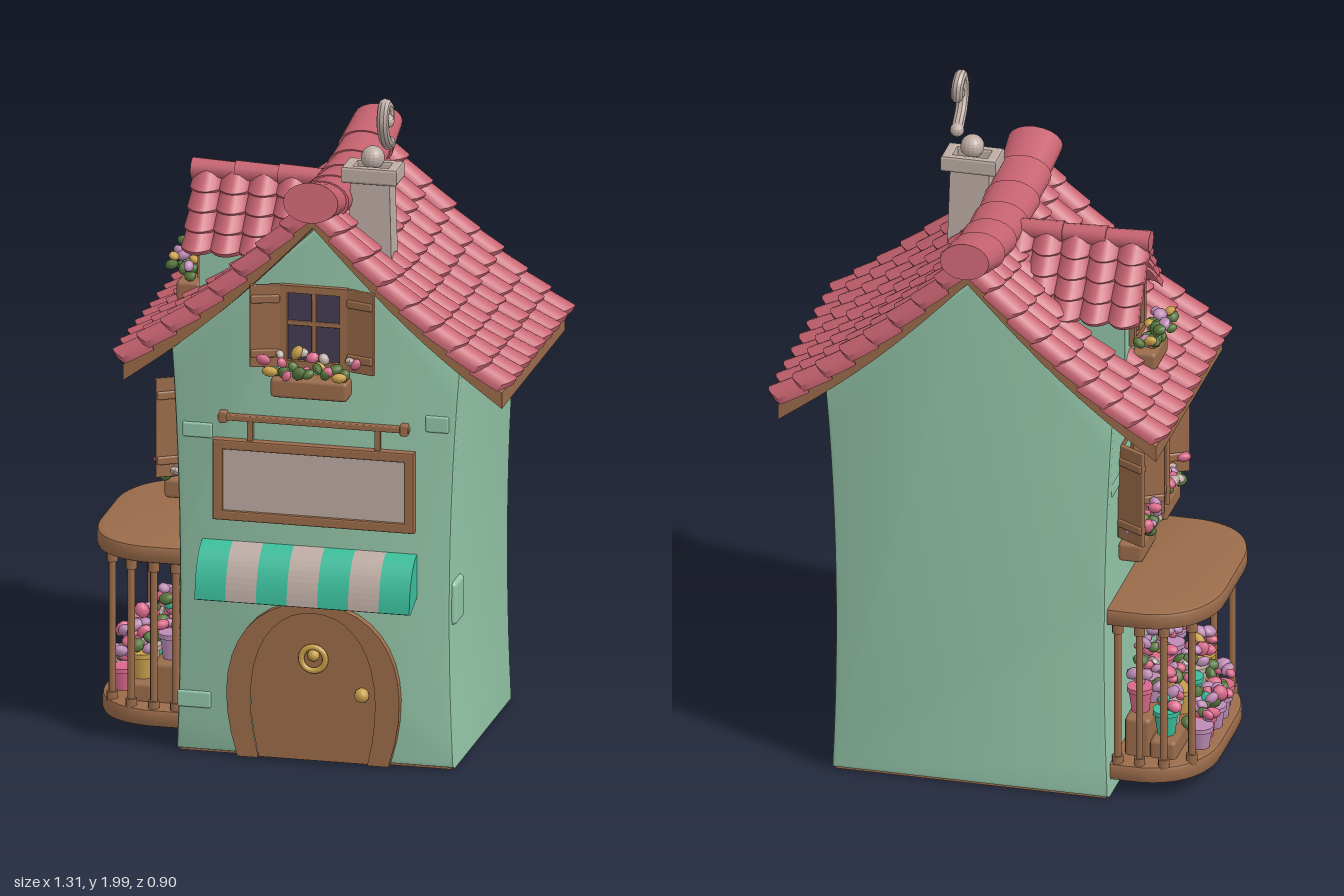
import * as THREE from 'three';
import { mergeGeometries, toCreasedNormals } from 'three/addons/utils/BufferGeometryUtils.js';
import { RoundedBoxGeometry } from 'three/addons/geometries/RoundedBoxGeometry.js';

const mat = (name, color) => Object.assign(new THREE.MeshStandardMaterial({ color }), { name });
const M = {
  wall: mat('sage wall', 0x93c4a8), roof: mat('rose tile', 0xc5626f), wood: mat('brown wood', 0x9a6b4a),
  pale: mat('pale stone', 0xbdaca4), teal: mat('awning teal', 0x3bbd9b), glass: mat('dark glass', 0x453c52),
  gold: mat('gold', 0xc9a04a), pink: mat('pink petal', 0xd9698a), mauve: mat('mauve petal', 0xbd8bb5),
  leaf: mat('leaf green', 0x56753c),
};
let seed = 7;
const rnd = () => (seed = (seed * 16807) % 2147483647) / 2147483647;
const jit = a => (rnd() - 0.5) * 2 * a;

function add(parent, name, geo, material, x = 0, y = 0, z = 0) {
  const m = new THREE.Mesh(geo, material);
  m.name = name;
  m.position.set(x, y, z);
  parent.add(m);
  return m;
}
function group(parent, name, x = 0, y = 0, z = 0) {
  const g = new THREE.Group();
  g.name = name;
  g.position.set(x, y, z);
  parent.add(g);
  return g;
}
const box = (w, h, d) => new RoundedBoxGeometry(w, h, d, 1, Math.min(w, h, d) * 0.2);
const extrude = (shape, depth, bevel = 0) => new THREE.ExtrudeGeometry(shape, {
  depth, bevelEnabled: bevel > 0, bevelSize: bevel, bevelThickness: bevel, bevelOffset: -bevel, bevelSegments: 2, curveSegments: 12 });
const poly = pts => new THREE.Shape(pts.map(p => new THREE.Vector2(...p)));
function rect(w, h) { return poly([[-w / 2, -h / 2], [w / 2, -h / 2], [w / 2, h / 2], [-w / 2, h / 2]]); }
function frameShape(w, h, t) {
  const s = rect(w, h);
  s.holes.push(rect(w - 2 * t, h - 2 * t));
  return s;
}

// Roof surface: concave slopes below a sagging ridge
const CX = 0.065, SPAN = 0.565;
const sag = z => 0.06 * ((z + 0.035) / 0.4) ** 2 - 0.03;
const roofPoint = (side, s, z) => new THREE.Vector3(CX + side * s * SPAN,
  1.68 - 0.48 * s - 0.03 * Math.sin(Math.PI * s) + sag(z) * (1 - s), z);

// One curved tile with a rounded lower end at +z
function tileGeo(w, l) {
  const g = new THREE.BoxGeometry(w, 0.02, l, 6, 1, 3), p = g.attributes.position;
  for (let i = 0; i < p.count; i++) {
    const u = 2 * p.getX(i) / w, v = p.getZ(i) / l + 0.5;
    p.setXYZ(i, p.getX(i) * (0.86 + 0.14 * v), p.getY(i) + 0.028 * (1 - u * u), p.getZ(i) - v * 0.3 * w * u * u);
  }
  g.rotateX(-0.13);
  return toCreasedNormals(g, 0.9);
}
function layTile(geo, at, down) {
  down = down.clone().normalize();
  const side = new THREE.Vector3(0, 1, 0).cross(down).normalize();
  const up = down.clone().cross(side);
  return geo.clone().applyMatrix4(new THREE.Matrix4().makeBasis(side, up, down).setPosition(at));
}

function addRoof(root) {
  const g = group(root, 'roof'), tiles = [], tile = tileGeo(0.098, 0.125);
  for (const side of [-1, 1]) for (let c = 0; c < 9; c++) for (let r = 0; r < 8; r++) {
    const z = 0.325 - c * 0.0888, s = (r + 0.5) / 8;
    const at = roofPoint(side, s, z + jit(0.003));
    const down = roofPoint(side, s + 0.05, z).sub(roofPoint(side, s - 0.05, z));
    at.y -= 0.02 + jit(0.003);
    tiles.push(layTile(tile, at, down));
  }
  add(g, 'roofTiles', mergeGeometries(tiles), M.roof);
  // Wooden deck under the tiles
  const deck = new THREE.BoxGeometry(2, 1, 1, 20, 1, 8), p = deck.attributes.position;
  for (let i = 0; i < p.count; i++) {
    const q = roofPoint(Math.sign(p.getX(i)), Math.abs(p.getX(i)), -0.03 + p.getZ(i) * 0.77);
    p.setXYZ(i, q.x, q.y + (p.getY(i) > 0 ? -0.03 : -0.078), q.z);
  }
  add(g, 'roofDeck', toCreasedNormals(deck, 0.7), M.wood);
  // Ridge tiles following the sag
  for (let i = 0; i < 6; i++) {
    const z = 0.3 - i * 0.1335;
    const cap = add(g, 'ridgeTile', new THREE.CylinderGeometry(0.082, 0.073, 0.16, 20).rotateX(Math.PI / 2).scale(1, 0.72, 1),
      M.roof, CX, 1.68 + sag(z), z);
    cap.rotation.x = -Math.atan((sag(z + 0.05) - sag(z - 0.05)) / 0.1);
  }
}

function flowers(parent, n, w, d, h, colours, size = 0.019) {
  for (let i = 0; i < n; i++) {
    const m = colours[i % colours.length];
    const f = add(parent, m === M.leaf ? 'leaf' : 'blossom', new THREE.SphereGeometry(size * (0.8 + rnd() * 0.5), 8, 6), m,
      ((i + 0.5) / n - 0.5) * w, h * rnd(), jit(d / 2));
    f.scale.set(1, 0.65, 0.85);
    f.rotation.set(jit(1), jit(1), jit(1));
  }
}

// Window facing +z with panes, shutters and a flower box
function addWindow(root, name, x, y, z, { w, h, shutter = 0, angle = 0, arched = false, boxW, colours }) {
  const g = group(root, name, x, y, z);
  let frame = frameShape(w, h, 0.022), pane = rect(w - 0.02, h - 0.02);
  if (arched) {
    const arch = (r, b) => {
      const s = new THREE.Shape().moveTo(-r, b).lineTo(r, b).lineTo(r, h / 2 - w / 2);
      return s.absarc(0, h / 2 - w / 2, r, 0, Math.PI);
    };
    frame = arch(w / 2, -h / 2);
    frame.holes.push(arch(w / 2 - 0.022, -h / 2 + 0.022));
    pane = arch(w / 2 - 0.01, -h / 2 + 0.01);
  }
  add(g, 'windowPane', extrude(pane, 0.006), M.glass);
  add(g, 'windowFrame', extrude(frame, 0.018), M.wood);
  add(g, 'windowBarUpright', box(0.014, h - 0.02, 0.014), M.wood, 0, 0, 0.007);
  add(g, 'windowBarCross', box(w - 0.02, 0.014, 0.014), M.wood, 0, 0.01, 0.007);
  if (shutter) for (const s of [-1, 1]) {
    const hinge = group(g, 'shutter', s * w / 2, 0, 0.01);
    hinge.rotation.y = -s * angle;
    add(hinge, 'shutterBoard', box(shutter, h, 0.014), M.wood, s * shutter / 2, 0, 0);
    for (const k of [-1, 1]) add(hinge, 'shutterBatten', box(shutter * 0.95, 0.025, 0.026), M.wood, s * shutter / 2, k * h * 0.33, 0);
  }
  add(g, 'flowerBox', box(boxW, 0.06, 0.075), M.wood, 0, -h / 2 - 0.045, 0.045);
  const bed = group(g, 'flowers', 0, -h / 2 - 0.005, 0.065);
  flowers(bed, 9, boxW, 0.05, 0.03, [M.leaf], 0.02);
  flowers(bed, 16, boxW + 0.05, 0.08, 0.07, colours);
}

function addDormer(root) {
  const Z = -0.055, g = group(root, 'dormer', 0, 0, Z);
  add(g, 'dormerWall', extrude(poly([[-0.12, 1.2], [0.12, 1.2], [0.12, 1.45], [0, 1.61], [-0.12, 1.45]]), 0.345).rotateY(-Math.PI / 2), M.wall);
  const tile = tileGeo(0.094, 0.09), tiles = [];
  for (const s of [-1, 1]) for (let c = 0; c < 5; c++) for (let r = 0; r < 4; r++) {
    const t = (r + 0.5) / 4;
    tiles.push(layTile(tile, new THREE.Vector3(-0.345 + c * 0.085, 1.635 - 0.2 * t, s * 0.145 * t), new THREE.Vector3(0, -0.2, s * 0.145)));
  }
  add(g, 'dormerTiles', mergeGeometries(tiles), M.roof);
  for (let i = 0; i < 3; i++)
    add(g, 'dormerRidge', new THREE.CylinderGeometry(0.026, 0.032, 0.145, 12).rotateZ(-Math.PI / 2), M.roof, -0.32 + i * 0.13, 1.65, 0);
}

function addDoor(root) {
  const g = group(root, 'door', 0.065, 0, 0.325);
  const arch = (k, h) => new THREE.Shape().moveTo(-0.225 * k, 0.004)
    .bezierCurveTo(-0.32 * k, 0.62 * h, -0.2 * k, h, 0, h).bezierCurveTo(0.2 * k, h, 0.32 * k, 0.62 * h, 0.225 * k, 0.004);
  const frame = arch(1, 0.485);
  frame.holes.push(arch(0.72, 0.455));
  add(g, 'doorFrame', extrude(frame, 0.026), M.wood);
  add(g, 'doorPanel', extrude(arch(0.73, 0.457), 0.014), M.wood);
  add(g, 'doorRing', new THREE.TorusGeometry(0.036, 0.009, 8, 24), M.gold, 0, 0.315, 0.02);
  add(g, 'ringBoss', new THREE.SphereGeometry(0.018, 12, 8), M.gold, 0, 0.325, 0.017);
  add(g, 'doorKnob', new THREE.SphereGeometry(0.022, 12, 8), M.gold, 0.145, 0.215, 0.022);
}

function addFront(root) {
  // Sign hung from a rail
  const sign = group(root, 'sign', 0.065, 0.84, 0.325);
  add(sign, 'signPanel', box(0.55, 0.2, 0.016), M.pale, 0, 0, 0.008);
  add(sign, 'signFrame', extrude(frameShape(0.6, 0.245, 0.03), 0.02, 0.005), M.wood);
  add(sign, 'signRail', box(0.57, 0.018, 0.022), M.wood, 0, 0.19, 0.012);
  for (const s of [-1, 1]) {
    add(sign, 'signHanger', box(0.018, 0.08, 0.016), M.wood, s * 0.19, 0.155, 0.01);
    add(sign, 'railKnob', box(0.024, 0.035, 0.028), M.wood, s * 0.27, 0.19, 0.012);
  }
  // Striped awning
  const g = group(root, 'awning', -0.27, 0.49, 0.325), w = 0.64 / 7;
  const profile = new THREE.Shape().moveTo(0, 0.03).lineTo(0.085, 0).lineTo(0.097, 0.005).bezierCurveTo(0.095, 0.08, 0.06, 0.15, 0, 0.16);
  for (let i = 0; i < 7; i++)
    add(g, 'awningStripe', toCreasedNormals(extrude(profile, w).rotateY(-Math.PI / 2), 0.6), i % 2 ? M.pale : M.teal, (i + 1) * w, 0, 0);
}

function addBalcony(root) {
  const g = group(root, 'balcony');
  const slab = new THREE.Shape().moveTo(-0.33, 0.365).lineTo(-0.45, 0.365).bezierCurveTo(-0.57, 0.355, -0.64, 0.26, -0.64, 0.13)
    .lineTo(-0.64, -0.06).bezierCurveTo(-0.64, -0.2, -0.57, -0.285, -0.45, -0.295).lineTo(-0.33, -0.295);
  for (const [name, y, k] of [['balconyFloor', 0.062, 0.975], ['balconyTop', 0.562, 1]])
    add(g, name, toCreasedNormals(extrude(slab, 0.03, 0.012).rotateX(-Math.PI / 2), 0.6), M.wood, 0, y, 0).scale.set(k, 1, k);
  for (const s of [-1, 1]) for (const [x, dz] of [[-0.365, 0.3], [-0.43, 0.3], [-0.5, 0.29], [-0.57, 0.235]]) {
    add(g, 'post', new THREE.CylinderGeometry(0.011, 0.011, 0.47, 8), M.wood, x, 0.325, -0.035 + s * dz);
    for (const y of [0.11, 0.535]) add(g, 'postCollar', new THREE.CylinderGeometry(0.017, 0.017, 0.03, 8), M.wood, x, y, -0.035 + s * dz);
  }
  // Stepped display of potted flowers
  const cols = [M.mauve, M.teal, M.pink, M.pale, M.mauve, M.gold];
  [[-0.565, 0.095, 5, 0.35], [-0.485, 0.16, 6, 0.46], [-0.41, 0.225, 6, 0.46]].forEach(([x, y, n, len], row) => {
    if (row) add(g, 'step', box(0.08, y - 0.09, len + 0.04), M.wood, x, (y + 0.09) / 2, -0.035);
    for (let i = 0; i < n; i++) {
      const pot = group(g, 'pottedFlower', x + jit(0.01), y, -0.035 + ((i + 0.5) / n - 0.5) * len);
      add(pot, 'pot', new THREE.CylinderGeometry(0.036, 0.026, 0.07, 12), cols[(i * 2 + row) % 6], 0, 0.035, 0);
      add(pot, 'potRim', new THREE.CylinderGeometry(0.04, 0.04, 0.014, 12), cols[(i * 2 + row) % 6], 0, 0.07, 0);
      const bunch = group(pot, 'bunch', 0, 0.085, 0);
      flowers(bunch, 7, 0.07, 0.07, 0.05 + row * 0.03, [M.pink, M.mauve, M.leaf, cols[(i + row) % 6]], 0.021);
    }
  });
}

function addChimney(root) {
  const g = group(root, 'chimney', 0.195, 0, 0.15);
  add(g, 'chimneyStack', new THREE.CylinderGeometry(0.0707, 0.08, 0.25, 4).rotateY(Math.PI / 4).scale(1.15, 1, 0.7), M.pale, 0, 1.615, 0).material.flatShading = true;
  const cap = rect(0.165, 0.1);
  cap.holes.push(rect(0.1, 0.05));
  add(g, 'chimneyCap', extrude(cap, 0.035, 0.008).rotateX(-Math.PI / 2), M.pale, 0, 1.728, 0);
  add(g, 'smokePuff', new THREE.SphereGeometry(0.035, 16, 12), M.pale, 0, 1.79, 0);
  // Curl of smoke with rounded ends
  const pts = [[-0.003, 1.838], [0.022, 1.85], [0.06, 1.875], [0.09, 1.93], [0.075, 1.976], [0.043, 1.958], [0.045, 1.92], [0.063, 1.925]]
    .map(([z, y], i) => new THREE.Vector3(0.045 + i * 0.002, y, z));
  add(g, 'smokeCurl', new THREE.TubeGeometry(new THREE.CatmullRomCurve3(pts), 60, 0.018, 10), M.pale);
  for (const p of [pts[0], pts[7]]) add(g, 'smokeEnd', new THREE.SphereGeometry(0.021, 12, 8), M.pale, p.x, p.y, p.z);
}

export function createModel() {
  seed = 7;
  const root = new THREE.Group();
  root.name = 'flowerShop';
  // Slightly waisted gabled walls
  const outline = new THREE.Shape().moveTo(-0.35, 0.004).lineTo(0.48, 0.004).quadraticCurveTo(0.45, 0.62, 0.5, 1.22)
    .lineTo(CX, 1.62).lineTo(-0.365, 1.22).quadraticCurveTo(-0.325, 0.62, -0.35, 0.004);
  add(root, 'walls', toCreasedNormals(extrude(outline, 0.68, 0.015), 0.6), M.wall, 0, 0, -0.37);
  add(root, 'groundPlate', new THREE.BoxGeometry(0.81, 0.008, 0.69), M.wood, CX, 0.004, -0.03);
  // Bare stones in the plaster
  for (const [x, y, z, w, h, d] of [[0.468, 0.5, 0.255, 0.03, 0.13, 0.105], [-0.295, 0.16, 0.325, 0.1, 0.05, 0.014],
    [-0.285, 0.98, 0.325, 0.09, 0.045, 0.014], [0.43, 1.05, 0.325, 0.07, 0.05, 0.014], [-0.345, 0.98, -0.31, 0.02, 0.045, 0.09]])
    add(root, 'wallStone', new RoundedBoxGeometry(w, h, d, 2, Math.min(w, d) * 0.45), M.wall, x, y, z);
  addRoof(root);
  addDormer(root);
  addDoor(root);
  addFront(root);
  addBalcony(root);
  addChimney(root);
  // Windows: one in the gable, two on the side, one in the dormer
  const bright = [M.pink, M.gold, M.pale, M.pink];
  addWindow(root, 'gableWindow', CX, 1.32, 0.325, { w: 0.2, h: 0.25, shutter: 0.09, angle: 0.3, boxW: 0.23, colours: bright });
  for (const z of [-0.19, 0.1])
    addWindow(root, 'sideWindow', -0.34, 0.94, z, { w: 0.14, h: 0.3, shutter: 0.1, angle: 1.05, boxW: 0.16, colours: [M.pink, M.mauve, M.pale] })
  addWindow(root, 'dormerWindow', -0.343, 1.44, -0.055, { w: 0.14, h: 0.2, arched: true, boxW: 0.15, colours: [M.leaf, M.gold, M.leaf, M.mauve] });
  for (const o of root.children) if (/^(side|dormer)Window$/.test(o.name)) o.rotation.y = -Math.PI / 2;
  return root;
}
